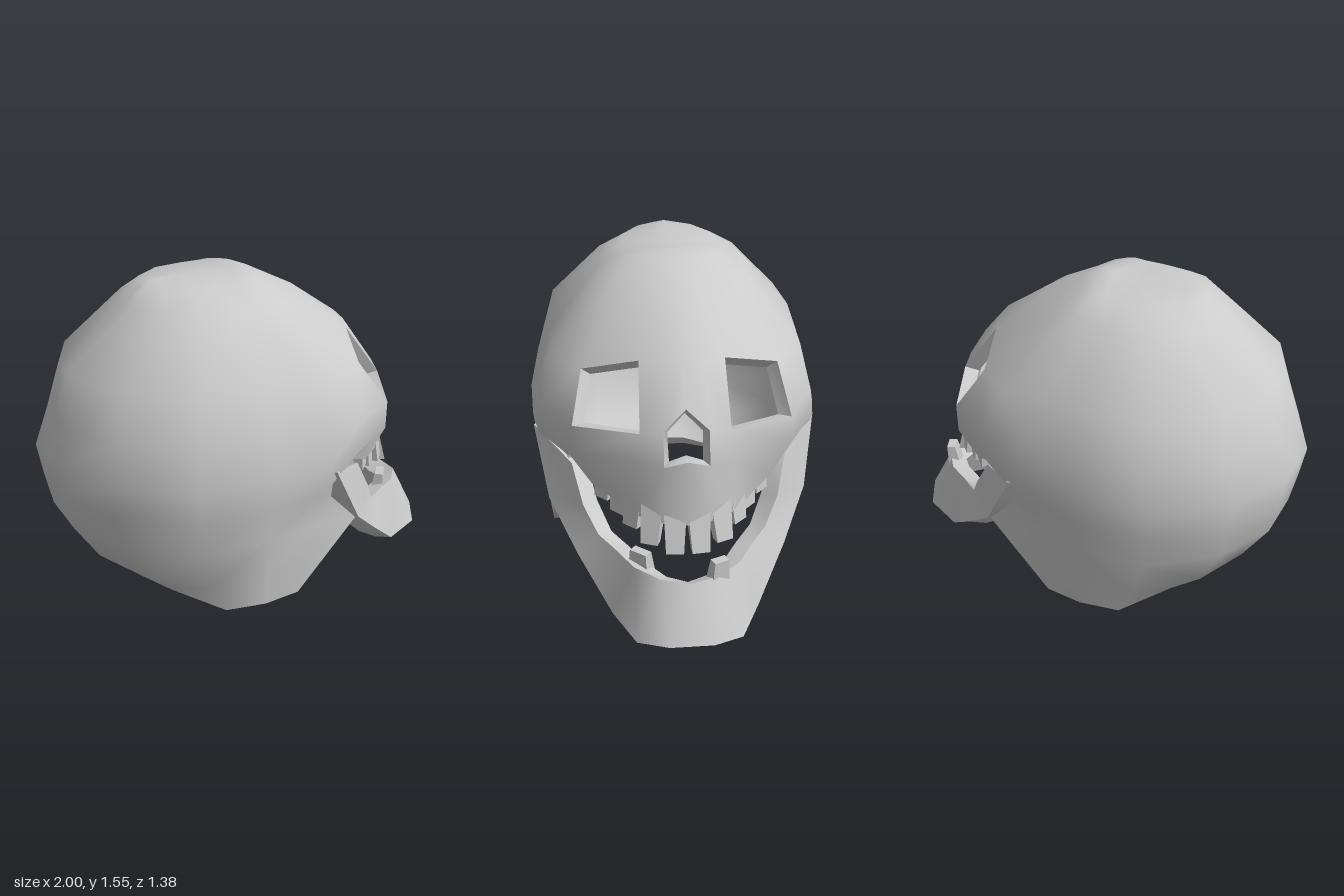
import * as THREE from 'three';
import { toCreasedNormals } from 'three/addons/utils/BufferGeometryUtils.js';

const material = new THREE.MeshStandardMaterial({ color: 0xcccccc });
const V = (x, y, z) => new THREE.Vector3(x, y, z);
const points = (rows) => rows.map((p) => V(...p));

// Mirrored sheet of columns (front midline first, each top to bottom), thickened inward.
// holes lists "row,column" cells left open; every open edge gets a rim wall.
function thickSheet(name, half, thickness, holes = []) {
  const n = half.length;
  const mirrored = half.slice(1).reverse().map((c) => c.map((p) => V(p.x, p.y, -p.z)));
  const cols = [...mirrored, ...half];
  const verts = [], lookup = new Map(), tris = [];
  const id = (p) => {
    const key = [p.x, p.y, p.z].map((v) => Math.round(v * 1000)).join();
    if (!lookup.has(key)) { lookup.set(key, verts.length); verts.push(p); }
    return lookup.get(key);
  };
  const addTri = (a, b, c) => { if (a !== b && b !== c && a !== c) tris.push([a, b, c]); };
  for (let k = 0; k < cols.length - 1; k++) {
    const col = k >= n - 1 ? k - (n - 1) : n - 2 - k;
    const L = cols[k], R = cols[k + 1];
    for (let i = 0; i < Math.min(L.length, R.length) - 1; i++) {
      if (holes.includes(`${i},${col}`)) continue;
      const a = id(L[i]), b = id(L[i + 1]), c = id(R[i + 1]), d = id(R[i]);
      if (k >= n - 1) { addTri(a, d, c); addTri(a, c, b); }
      else { addTri(a, d, b); addTri(d, c, b); }
    }
  }
  // Average normals for the inward offset
  const normals = verts.map(() => V(0, 0, 0));
  const edges = new Set();
  for (const t of tris) {
    const [a, b, c] = t.map((i) => verts[i]);
    const face = b.clone().sub(a).cross(c.clone().sub(a)).normalize();
    t.forEach((v, i) => { normals[v].add(face); edges.add(`${v},${t[(i + 1) % 3]}`); });
  }
  const m = verts.length, index = [];
  const inner = verts.map((p, i) => p.clone().addScaledVector(normals[i].normalize(), -thickness));
  for (const t of tris) {
    const [a, b, c] = t;
    index.push(a, b, c, c + m, b + m, a + m);
    t.forEach((p, i) => {
      const q = t[(i + 1) % 3];
      if (!edges.has(`${q},${p}`)) index.push(q, p, p + m, q, p + m, q + m);
    });
  }
  const geo = new THREE.BufferGeometry().setFromPoints([...verts, ...inner]);
  geo.setIndex(index);
  const mesh = new THREE.Mesh(toCreasedNormals(geo, 0.95), material);
  mesh.name = name;
  return mesh;
}

// Face columns from the midline out to the cheek
function faceColumns() {
  const crown = [-0.01, 1.55, 0];
  return [
    [crown, [0.1, 1.5, 0], [0.27, 1.41, 0], [0.52, 1.23, 0], [0.66, 1.06, 0], [0.75, 0.85, 0], [0.765, 0.54, 0]],
    [crown, [0.07, 1.51, 0.08], [0.25, 1.41, 0.1], [0.51, 1.22, 0.1], [0.69, 0.97, 0.1], [0.735, 0.82, 0.1], [0.745, 0.54, 0.1]],
    [crown, [0.02, 1.52, 0.16], [0.19, 1.4, 0.22], [0.47, 1.21, 0.19], [0.66, 0.95, 0.2], [0.68, 0.82, 0.22], [0.68, 0.55, 0.22]],
    [crown, [-0.02, 1.52, 0.2], [0.1, 1.41, 0.3], [0.38, 1.14, 0.44], [0.52, 0.93, 0.49], [0.51, 0.8, 0.5], [0.47, 0.6, 0.41]],
    [crown, [-0.06, 1.52, 0.22], [0, 1.43, 0.34], [0.2, 1.14, 0.58], [0.3, 0.95, 0.62], [0.27, 0.8, 0.64], [0.33, 0.68, 0.51],
      [0.3, 0.43, 0.6], [0.3, 0.43, 0.6], [0.3, 0.43, 0.6]],
  ].map(points);
}

// Rounded cranium columns from the temple to the back midline
function craniumColumns() {
  // height, half width, rearmost x, x of the temple column
  const levels = [
    [1.54, 0, -0.47, -0.05], [1.52, 0.22, -0.51, -0.12], [1.45, 0.34, -0.585, -0.1], [1.18, 0.59, -0.87, 0],
    [0.97, 0.65, -0.935, 0.06], [0.79, 0.69, -1, 0.1], [0.64, 0.675, -0.975, 0.08],
    [0.47, 0.655, -0.94, 0.03], [0.28, 0.64, -0.82, 0], [0.105, 0.62, -0.64, -0.02],
  ];
  // plan outline as fractions of rear length and half width
  const outline = [[0, 1], [0.44, 0.96], [0.825, 0.6], [1, 0.2], [1, 0]];
  const middle = -0.2;
  const temple = levels.map(([y, w, , x]) => V(x, y, w * 0.98));
  const rear = outline.map(([u, v]) => levels.map(([y, w, back], i) => V(
    middle + (back - middle) * u,
    y + (i === 9 ? 0.065 * u * u : 0),
    w * v,
  )));
  return [temple, ...rear];
}

// Jaw sections: upper edge, lower edge, from the chin back to the hinge
function jawColumns() {
  return [
    [[0.87, 0.3, 0], [1, 0.06, 0]],
    [[0.85, 0.32, 0.13], [1, 0.06, 0.1]],
    [[0.76, 0.33, 0.24], [0.92, 0.035, 0.24]],
    [[0.64, 0.34, 0.31], [0.71, 0.045, 0.34]],
    [[0.53, 0.36, 0.39], [0.5, 0.24, 0.49]],
    [[0.46, 0.48, 0.455], [0.3, 0.43, 0.615]],
    [[0.36, 0.65, 0.5], [0.13, 0.74, 0.675]],
  ].map(points);
}

// Tapered tooth between heights y0 and y1; tip is -1 when pointing down, 1 when up
function tooth(name, tip, x, z, y0, y1, width, lean, yaw) {
  const geo = new THREE.BoxGeometry(0.07, y1 - y0, width);
  const pos = geo.attributes.position;
  for (let i = 0; i < pos.count; i++) {
    if (pos.getY(i) * tip > 0) {
      pos.setX(i, pos.getX(i) * 0.6 + lean);
      pos.setZ(i, pos.getZ(i) * 0.8);
    }
  }
  geo.computeVertexNormals();
  const mesh = new THREE.Mesh(geo, material);
  mesh.position.set(x, (y0 + y1) / 2, z);
  mesh.rotation.y = yaw;
  mesh.name = name;
  return mesh;
}

export function createModel() {
  const group = new THREE.Group();
  group.name = 'skullHelmet';

  // Hollow shell with nose and eye openings
  const shell = thickSheet('skullShell', [...faceColumns(), ...craniumColumns()], 0.07, ['4,0', '3,2']);
  const jaw = thickSheet('jaw', jawColumns(), 0.09);
  group.add(shell, jaw);

  // Upper teeth, roots sunk into the face: x, z, tip height, lean, yaw
  const upper = [
    [0.71, 0.05, 0.415, 0.07, 0.1], [0.675, 0.14, 0.44, 0.06, 0.4], [0.62, 0.21, 0.485, 0.04, 0.75],
    [0.54, 0.27, 0.505, 0.03, 0.8], [0.46, 0.34, 0.535, 0.025, 0.8],
  ];
  for (const side of [1, -1]) {
    for (const [x, z, tip, lean, yaw] of upper) {
      group.add(tooth('upperTooth', -1, x, z * side, tip, tip + 0.18, 0.1, lean, -yaw * side));
    }
  }

  // Two remaining lower teeth
  group.add(tooth('lowerTooth', 1, 0.7, 0.2, 0.24, 0.38, 0.11, 0.01, -0.7));
  group.add(tooth('lowerTooth', 1, 0.81, -0.13, 0.24, 0.395, 0.09, 0.02, 0.4));
  return group;
}
